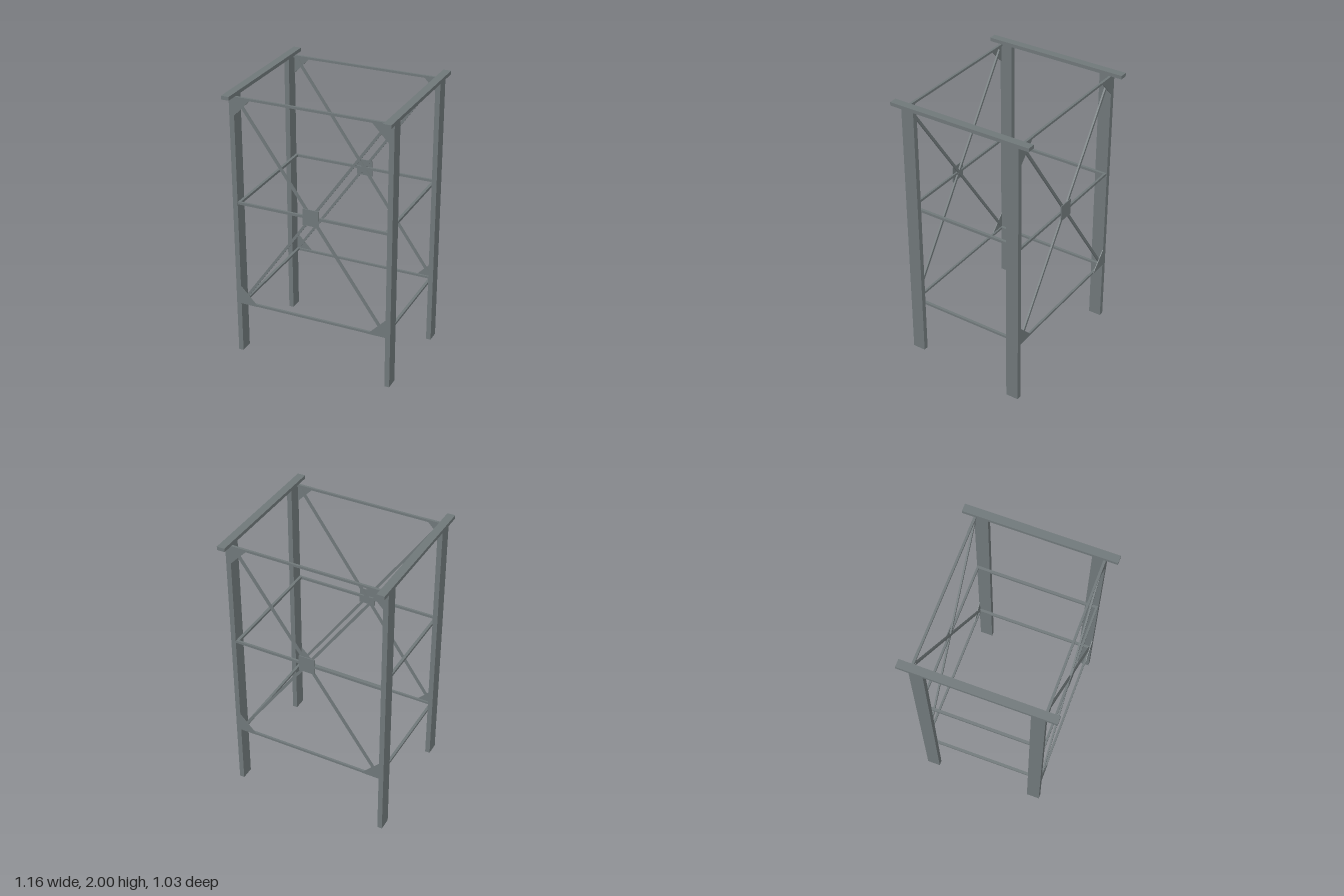
import * as THREE from 'three';

export function createModel() {
  const root = new THREE.Group();
  root.name = 'bracedFrame';
  const steel = new THREE.MeshStandardMaterial({ color: 0x6f7779 });
  steel.name = 'grey steel';

  const add = (parent, name, geometry) => {
    const mesh = new THREE.Mesh(geometry, steel);
    mesh.name = name;
    parent.add(mesh);
    return mesh;
  };
  // Box given by its minimum and maximum corners
  const bar = (parent, name, [x0, y0, z0], [x1, y1, z1]) => {
    const mesh = add(parent, name, new THREE.BoxGeometry(x1 - x0, y1 - y0, z1 - z0));
    mesh.position.set((x0 + x1) / 2, (y0 + y1) / 2, (z0 + z1) / 2);
    return mesh;
  };

  const legIn = 0.535, legOut = 0.57, legBack = 0.345, face = 0.437;
  const midY = 1.222, lowY = 0.455, topY = 1.975;

  // Legs (front pair shorter), top beams and side rails
  for (const s of [-1, 1]) {
    const xs = (a, b) => [Math.min(s * a, s * b), Math.max(s * a, s * b)];
    const [l0, l1] = xs(legIn, legOut);
    bar(root, 'frontLeg', [l0, 0.075, legBack], [l1, topY, face]);
    bar(root, 'backLeg', [l0, 0, -face], [l1, topY, -legBack]);
    const [b0, b1] = xs(0.525, 0.58);
    bar(root, 'topBeam', [b0, topY, -0.515], [b1, 2, 0.515]);
    const [r0, r1] = xs(0.516, legIn);
    bar(root, 'sideMiddleRail', [r0, midY - 0.009, -0.42], [r1, midY + 0.009, 0.42]);
    bar(root, 'sideLowerRail', [r0, lowY, -0.42], [r1, lowY + 0.016, 0.42]);
  }

  // Triangular corner plate
  const triangle = new THREE.Shape([
    new THREE.Vector2(0, 0), new THREE.Vector2(0.128, 0), new THREE.Vector2(0, 0.132),
  ]);
  const gusset = (sx, sy) => {
    const shape = new THREE.Shape(triangle.getPoints().map((p) => new THREE.Vector2(p.x * sx, p.y * sy)));
    return new THREE.ExtrudeGeometry(shape, { depth: 0.006, bevelEnabled: false });
  };

  // Braced panel, built facing +z and turned round for the back
  for (const [name, turn] of [['frontPanel', 0], ['backPanel', Math.PI]]) {
    const panel = new THREE.Group();
    panel.name = name;
    panel.rotation.y = turn;
    root.add(panel);
    const rail = (n, y0, y1) => bar(panel, n, [-legIn, y0, 0.42], [legIn, y1, 0.435]);
    rail('lowerRail', lowY, lowY + 0.016);
    rail('middleRail', midY - 0.009, midY + 0.009);
    rail('upperRail', topY - 0.016, topY);
    bar(panel, 'centrePlate', [-0.058, midY - 0.058, 0.431], [0.058, midY + 0.058, 0.437]);

    for (const sx of [-1, 1]) {
      for (const sy of [-1, 1]) {
        // Corner plate
        const plate = add(panel, 'cornerPlate', gusset(-sx, -sy));
        plate.position.set(sx * legIn, sy > 0 ? topY : lowY, 0.431);
        // Diagonal brace from the centre plate to the corner plate
        const dx = sx * 0.505, dy = sy * 0.72;
        const brace = add(panel, 'diagonalBrace', new THREE.BoxGeometry(Math.hypot(dx, dy), 0.018, 0.012));
        brace.position.set(dx / 2, midY + dy / 2, 0.425);
        brace.rotation.z = Math.atan2(dy, dx);
      }
    }
  }
  return root;
}
